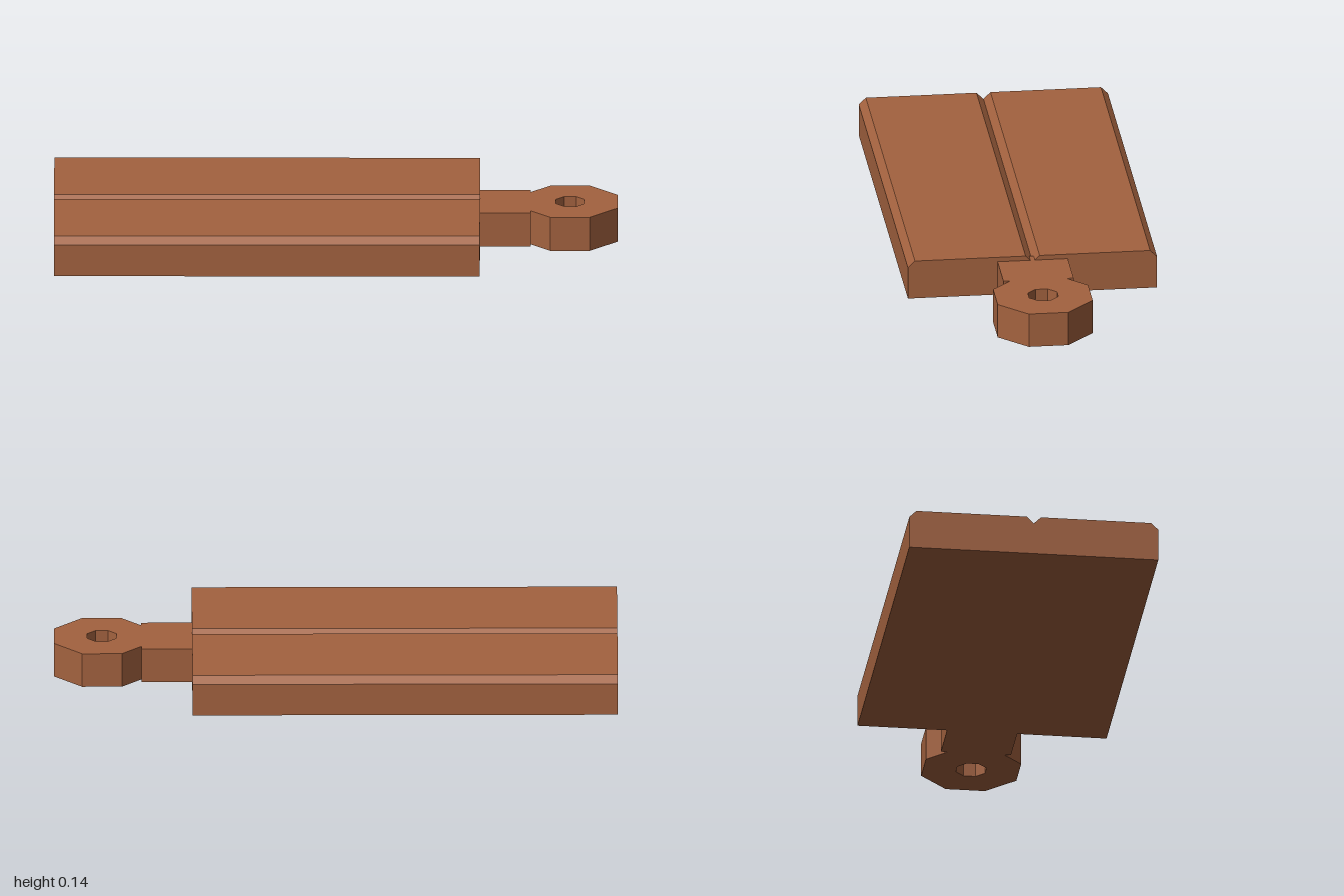
import * as THREE from 'three';

// Points of a regular octagon with flat sides facing the axes
function octagon(cx, apothem) {
  const r = apothem / Math.cos(Math.PI / 8);
  return Array.from({ length: 8 }, (_, i) => {
    const a = Math.PI / 8 + (i * Math.PI) / 4;
    return new THREE.Vector2(cx + r * Math.cos(a), r * Math.sin(a));
  });
}

export function createModel() {
  const wood = new THREE.MeshStandardMaterial({ color: 0xa3623f });
  wood.name = 'wood';
  const group = new THREE.Group();
  group.name = 'choppingBoard';

  const add = (name, geometry) => {
    const mesh = new THREE.Mesh(geometry, wood);
    mesh.name = name;
    group.add(mesh);
  };

  // Board: chamfered cross-section with a V groove, extruded along x
  const w = 0.445, h = 0.143, c = 0.025;
  const half = [[w, 0], [w, h - c], [w - c, h], [c, h]];
  const mirrored = half.map(([z, y]) => [-z, y]).reverse();
  const section = [...half, [0, h - c], ...mirrored].map(([z, y]) => new THREE.Vector2(z, y));
  const board = new THREE.ExtrudeGeometry(new THREE.Shape(section), { depth: 1.51, bevelEnabled: false });
  board.rotateY(Math.PI / 2).translate(-1, 0, 0);
  add('board', board);

  // Handle: neck reaching slightly into the groove, octagonal end with a hanging hole
  const cx = 0.83, a = 0.17, neck = 0.125, neckEnd = 0.69;
  const s = a * Math.tan(Math.PI / 8);
  const slantZ = s + neckEnd - (cx - a);
  const side = [[0.47, neck], [neckEnd, neck], [neckEnd, slantZ], [cx - s, a], [cx + s, a], [1, s]];
  const outline = [...side.map(([x, z]) => [x, -z]), ...side.slice().reverse()];
  const shape = new THREE.Shape(outline.map(([x, z]) => new THREE.Vector2(x, z)));
  shape.holes.push(new THREE.Path(octagon(cx, 0.052)));
  const handle = new THREE.ExtrudeGeometry(shape, { depth: 0.126, bevelEnabled: false });
  handle.rotateX(-Math.PI / 2);
  add('handle', handle);

  return group;
}
